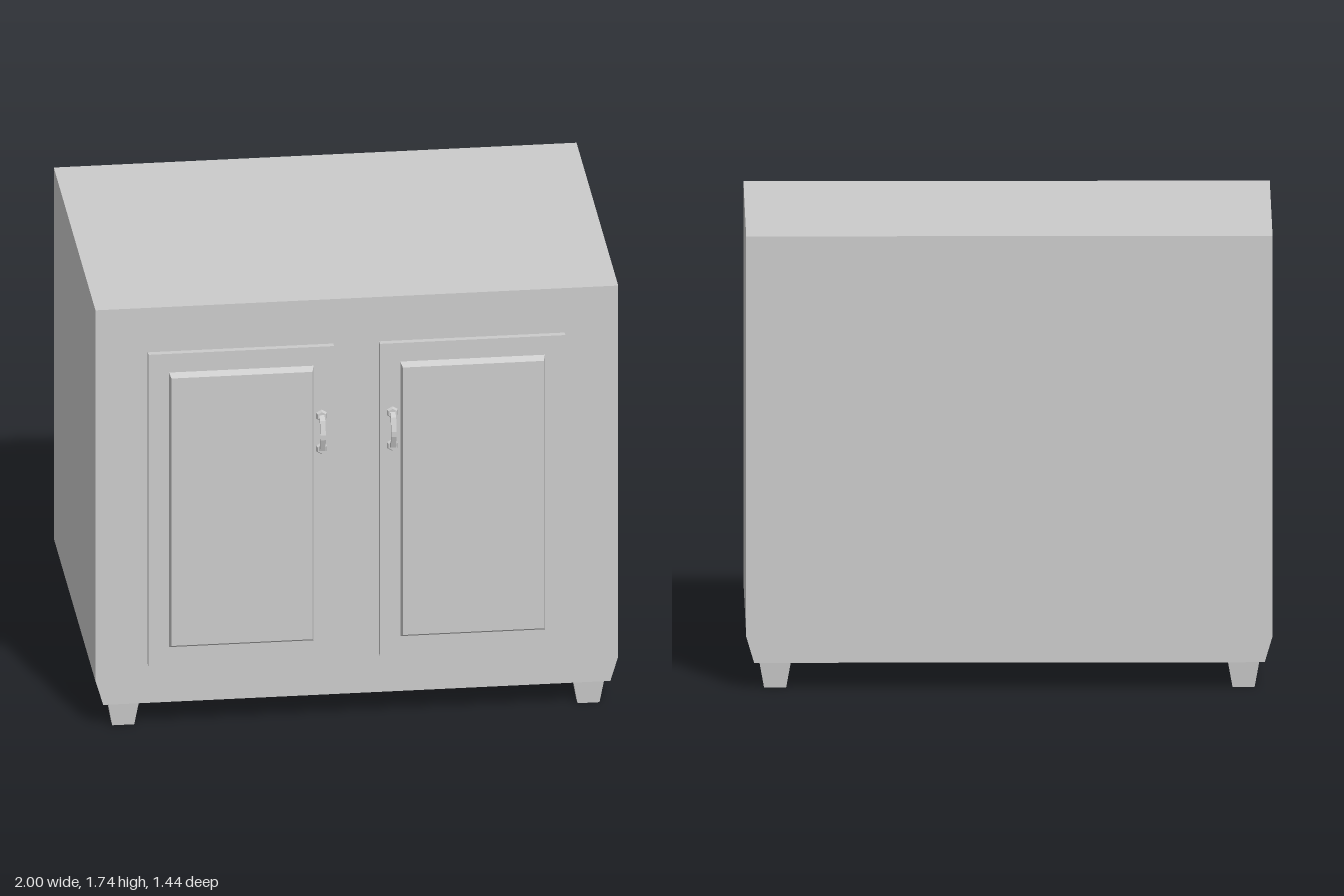
import * as THREE from 'three';

const material = new THREE.MeshStandardMaterial({ color: 0xcccccc, flatShading: true });

function add(parent, geometry, name, x = 0, y = 0, z = 0) {
  const mesh = new THREE.Mesh(geometry, material);
  mesh.name = name;
  mesh.position.set(x, y, z);
  parent.add(mesh);
  return mesh;
}

function extrude(points, depth) {
  const shape = new THREE.Shape(points.map(([x, y]) => new THREE.Vector2(x, y)));
  return new THREE.ExtrudeGeometry(shape, { depth, bevelEnabled: false });
}

// Box whose chosen end (axis 'y' or 'z', side +1 or -1) is scaled by sx and s2
function taperedBox(w, h, d, axis, side, sx, s2) {
  const geometry = new THREE.BoxGeometry(w, h, d);
  const p = geometry.attributes.position;
  for (let i = 0; i < p.count; i++) {
    const along = axis === 'y' ? p.getY(i) : p.getZ(i);
    if (along * side <= 0) continue;
    p.setX(i, p.getX(i) * sx);
    if (axis === 'y') p.setZ(i, p.getZ(i) * s2);
    else p.setY(i, p.getY(i) * s2);
  }
  geometry.computeVertexNormals();
  return geometry;
}

// Bowed pull with two hexagonal mounting plates
function createHandle() {
  const handle = new THREE.Group();
  for (const s of [-1, 1]) {
    const plate = new THREE.CylinderGeometry(0.018, 0.024, 0.012, 6).rotateX(Math.PI / 2);
    add(handle, plate, 'handlePlate', 0, s * 0.068, 0.006);
  }
  const bow = extrude([
    [0.005, 0.077], [0.04, 0.062], [0.058, 0.01], [0.058, -0.01], [0.04, -0.062], [0.005, -0.077],
    [0.005, -0.058], [0.03, -0.047], [0.045, -0.008], [0.045, 0.008], [0.03, 0.047], [0.005, 0.058],
  ], 0.02).translate(0, 0, -0.01).rotateY(-Math.PI / 2);
  add(handle, bow, 'handleBow');
  return handle;
}

export function createModel() {
  const model = new THREE.Group();
  model.name = 'cabinet';

  // Body with sides drawn in at the bottom
  const body = extrude([
    [-0.97, 0.1], [0.97, 0.1], [1, 0.2], [1, 1.74], [-1, 1.74], [-1, 0.2],
  ], 1.355);
  add(model, body, 'body', 0, 0, -0.717);

  // Tapered feet
  for (const x of [-0.89, 0.89]) {
    add(model, taperedBox(0.12, 0.1, 0.062, 'y', -1, 0.7, 0.74), 'frontFoot', x, 0.05, 0.584);
    add(model, taperedBox(0.12, 0.1, 0.076, 'y', -1, 0.7, 0.74), 'backFoot', x, 0.05, -0.655);
  }

  // Doors, each with a raised bevelled panel and a handle near the middle
  for (const [name, x, handleX] of [['rightDoor', -0.445, 0.307], ['leftDoor', 0.44, -0.307]]) {
    const door = new THREE.Group();
    door.name = name;
    door.position.set(x, 0.908, 0.638);
    add(door, new THREE.BoxGeometry(0.71, 1.295, 0.024), 'doorFrame', 0, 0, 0.012);
    add(door, taperedBox(0.553, 1.14, 0.024, 'z', 1, 0.976, 0.974), 'doorPanel', 0, 0, 0.036);
    const handle = createHandle();
    handle.name = 'handle';
    handle.position.set(handleX, 0.294, 0.024);
    door.add(handle);
    model.add(door);
  }

  return model;
}
